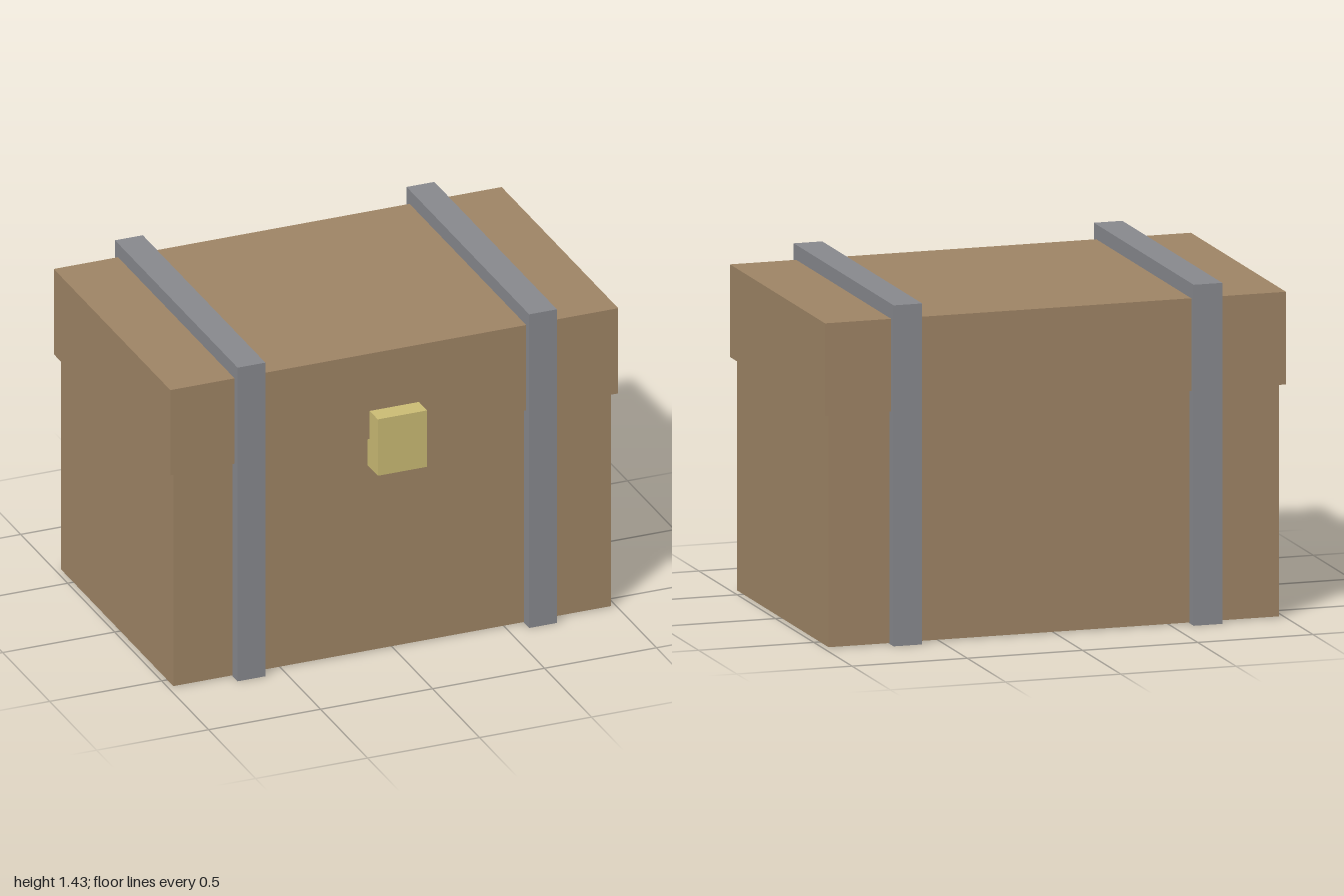
import * as THREE from 'three';

export function createModel() {
  const chest = new THREE.Group();
  chest.name = 'chest';

  const material = (name, color) => {
    const m = new THREE.MeshStandardMaterial({ color });
    m.name = name;
    return m;
  };
  const wood = material('wood', 0x9e8465);
  const iron = material('iron', 0x87888d);
  const brass = material('brass', 0xcabb74);

  // Box given by its minimum and maximum corners
  const box = (name, mat, [x0, y0, z0], [x1, y1, z1]) => {
    const mesh = new THREE.Mesh(new THREE.BoxGeometry(x1 - x0, y1 - y0, z1 - z0), mat);
    mesh.position.set((x0 + x1) / 2, (y0 + y1) / 2, (z0 + z1) / 2);
    mesh.name = name;
    chest.add(mesh);
  };

  // Wooden body and overhanging lid
  box('body', wood, [-0.977, 0.003, -0.625], [0.977, 0.982, 0.57]);
  box('lid', wood, [-1, 0.982, -0.648], [1, 1.372, 0.593]);

  // Clasp on the front
  box('clasp', brass, [-0.11, 0.852, 0.56], [0.11, 1.11, 0.68]);

  // Iron straps running up the front, over the lid and down the back
  const profile = new THREE.Shape([
    [-0.625, 0], [-0.625, 1.435], [0.68, 1.435], [0.68, 0],
    [0.615, 0], [0.615, 1.365], [-0.56, 1.365], [-0.56, 0],
  ].map(([u, v]) => new THREE.Vector2(u, v)));
  const strapGeometry = new THREE.ExtrudeGeometry(profile, { depth: 0.124, bevelEnabled: false });
  strapGeometry.translate(0, 0, -0.062).rotateY(Math.PI / 2); // profile u becomes -z
  for (const side of [-1, 1]) {
    const strap = new THREE.Mesh(strapGeometry, iron);
    strap.position.x = side * 0.651;
    strap.name = side > 0 ? 'leftStrap' : 'rightStrap';
    chest.add(strap);
  }

  return chest;
}
